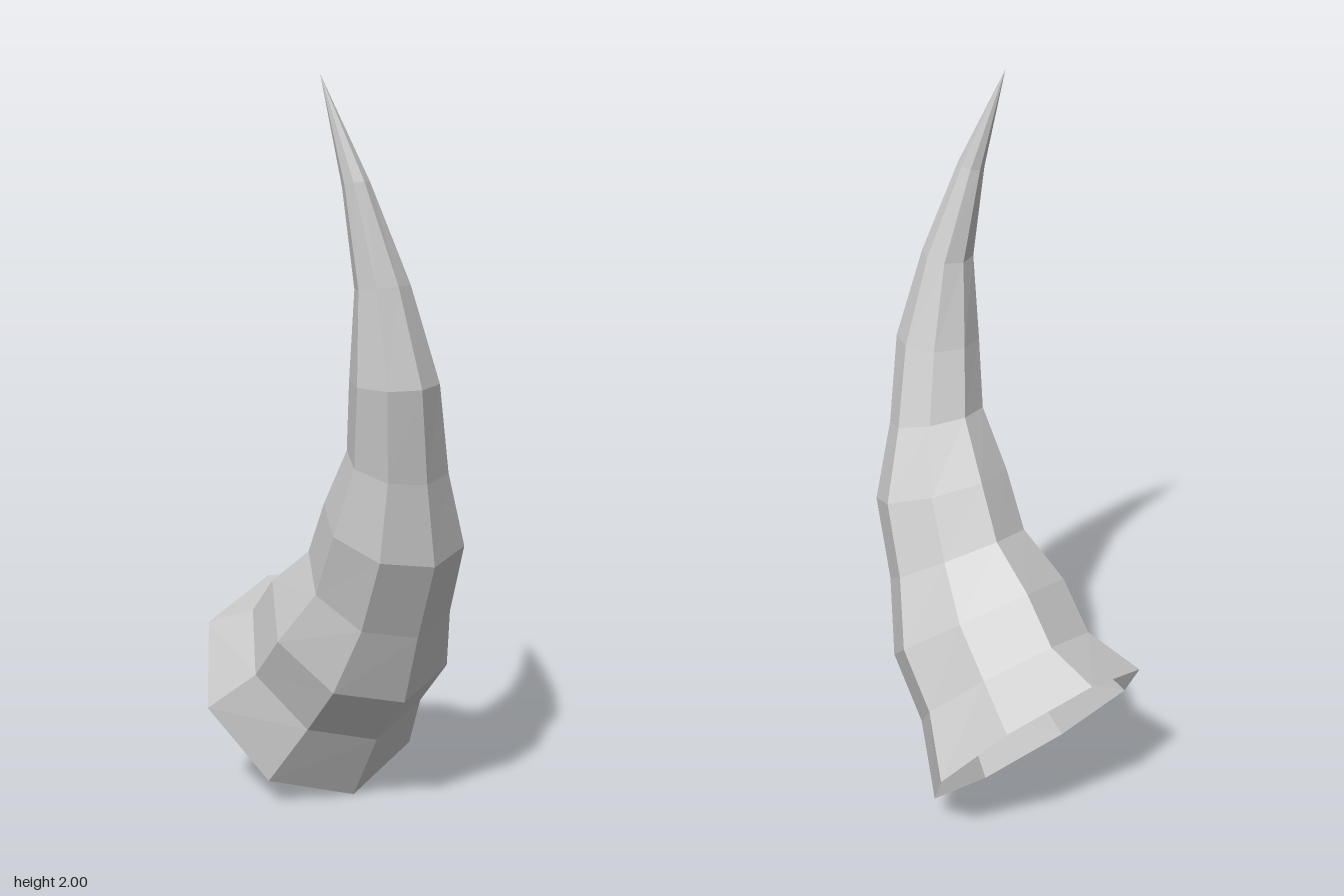
import * as THREE from 'three';

// Each ring: inner rim x, y, outer rim x, y, centre z, half-depth
const RINGS = [
  [-0.44, 0.53, -0.01, 0.0, 0.0, 0.34],
  [-0.28, 0.575, 0.1, 0.2, 0.0, 0.268],
  [-0.17, 0.685, 0.24, 0.355, 0.011, 0.265],
  [-0.027, 0.78, 0.315, 0.56, 0.025, 0.203],
  [0.06, 0.92, 0.41, 0.78, 0.045, 0.19],
  [0.165, 1.07, 0.415, 1.0, 0.075, 0.134],
  [0.21, 1.25, 0.44, 1.25, 0.112, 0.113],
  [0.25, 1.48, 0.383, 1.5, 0.143, 0.072],
  [0.24, 1.73, 0.31, 1.75, 0.193, 0.034],
];
const TIP = [0.2, 2.0, 0.245];
const SIDES = 8;

// Skin tilted octagonal rings into a tube that closes at the tip
function hornGeometry() {
  const positions = [];
  const index = [];
  for (const [ix, iy, ox, oy, cz, depth] of RINGS) {
    for (let j = 0; j < SIDES; j++) {
      const a = (j / SIDES) * Math.PI * 2;
      const c = Math.cos(a);
      positions.push(
        (ix + ox) / 2 + ((ox - ix) / 2) * c,
        (iy + oy) / 2 + ((oy - iy) / 2) * c,
        cz - depth * Math.sin(a)
      );
    }
  }
  positions.push(...TIP);
  const tip = RINGS.length * SIDES;
  for (let i = 0; i < RINGS.length; i++) {
    for (let j = 0; j < SIDES; j++) {
      const a = i * SIDES + j;
      const b = i * SIDES + ((j + 1) % SIDES);
      if (i === RINGS.length - 1) index.push(a, b, tip);
      else index.push(a, b, b + SIDES, a, b + SIDES, a + SIDES);
    }
  }
  const indexed = new THREE.BufferGeometry();
  indexed.setAttribute('position', new THREE.Float32BufferAttribute(positions, 3));
  indexed.setIndex(index);
  const geometry = indexed.toNonIndexed();
  geometry.computeVertexNormals();
  return geometry;
}

export function createModel() {
  const group = new THREE.Group();
  group.name = 'curvedHorn';

  const hornGrey = new THREE.MeshStandardMaterial({
    color: 0xcccccc,
    flatShading: true,
    side: THREE.DoubleSide, // the base is open
  });
  hornGrey.name = 'hornGrey';

  const horn = new THREE.Mesh(hornGeometry(), hornGrey);
  horn.name = 'horn';
  group.add(horn);
  return group;
}
